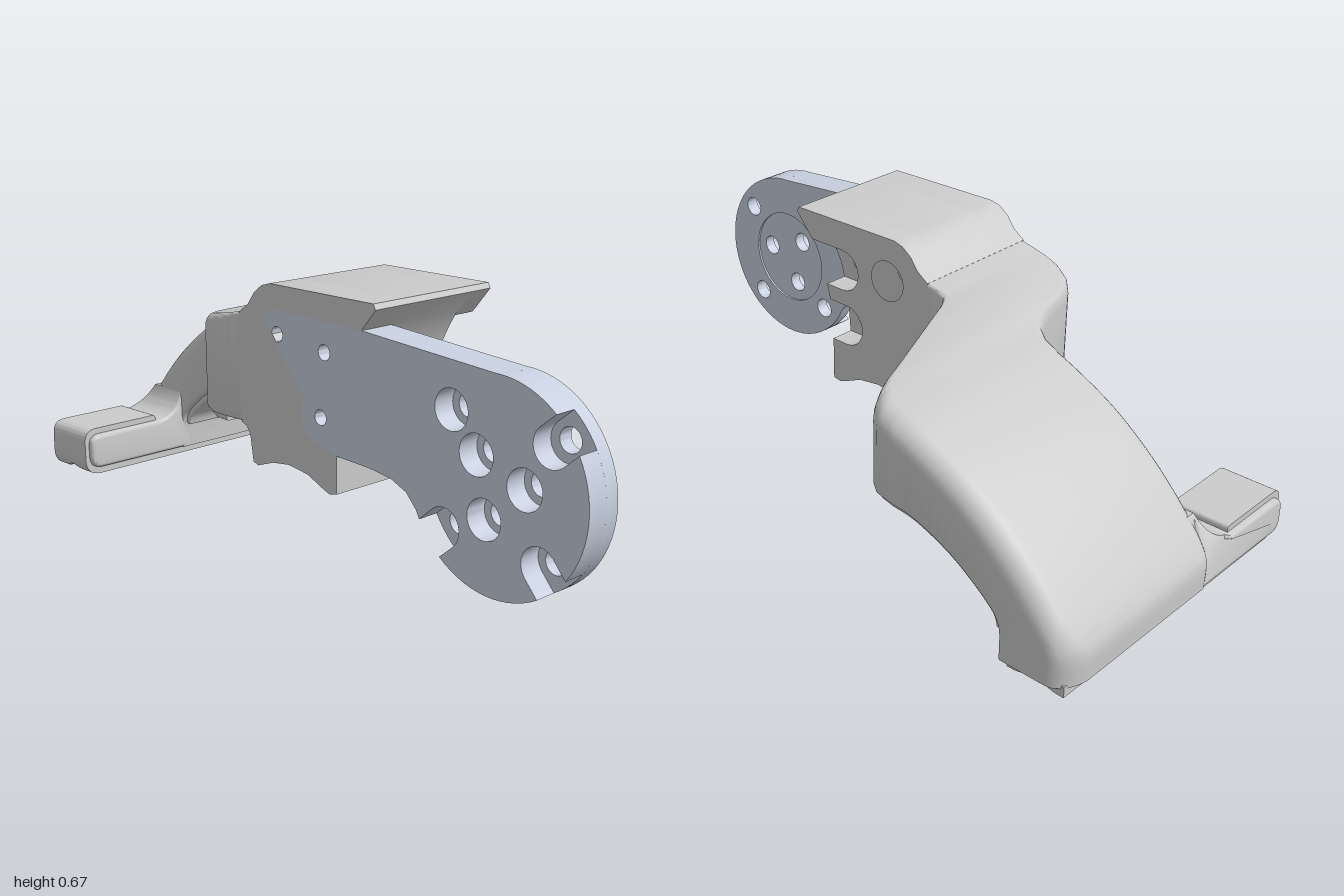
import * as THREE from 'three';
import { toCreasedNormals } from 'three/addons/utils/BufferGeometryUtils.js';

const grey = new THREE.MeshStandardMaterial({ color: 0xcccccc });
const steel = new THREE.MeshStandardMaterial({ color: 0xc8d0e0 });

function add(group, name, geometry, material = grey) {
  const mesh = new THREE.Mesh(toCreasedNormals(geometry, 0.6), material);
  mesh.name = name;
  group.add(mesh);
}

// Arc points in (z, y), angles in degrees
function arc(cz, cy, r, a0, a1, n = 10) {
  return Array.from({ length: n + 1 }, (_, i) => {
    const a = THREE.MathUtils.degToRad(a0 + (a1 - a0) * i / n);
    return [cz + r * Math.cos(a), cy + r * Math.sin(a)];
  });
}

// Side profile in (z, y) with round holes [z, y, r], extruded from x0 to x1
function sideSlab(points, x0, x1, holes = []) {
  const shape = new THREE.Shape(points.map(([z, y]) => new THREE.Vector2(-z, y)));
  for (const [z, y, r] of holes) {
    shape.holes.push(new THREE.Path().absarc(-z, y, r, 0, Math.PI * 2, true));
  }
  const g = new THREE.ExtrudeGeometry(shape, { depth: x1 - x0, bevelEnabled: false, curveSegments: 16 });
  return g.rotateY(Math.PI / 2).translate(x0, 0, 0);
}

// Linear lookup in a table of [z, value] with falling z
function lookup(table, z) {
  if (z >= table[0][0]) return table[0][1];
  for (let i = 1; i < table.length; i++) {
    const [z0, v0] = table[i - 1], [z1, v1] = table[i];
    if (z >= z1) return v0 + (v1 - v0) * (z - z0) / (z1 - z0);
  }
  return table[table.length - 1][1];
}

// Plan outline of the arm
const planLeft = [[-.2, -.45], [-.25, -.443], [-.3, -.418], [-.335, -.38], [-.353, -.34], [-.385, -.22],
  [-.41, -.17], [-.45, -.14], [-.51, -.125]];
const planRight = [[-.15, -.045], [-.185, -.035], [-.205, 0], [-.345, .38], [-.375, .43], [-.41, .455],
  [-.46, .464], [-.95, .464], [-.985, .452], [-1, .435]];

// Loft between an upper and a lower side curve, bounded by the plan outline
function armLoft(upper, lower, rows, inset, radii) {
  const curve = pts => new THREE.CatmullRomCurve3(
    pts.map(([z, y]) => new THREE.Vector3(0, y, z)), false, 'catmullrom', .5);
  const top = curve(upper), bottom = curve(lower);
  const pos = [], index = [];
  const seg = 6, n = 4 * (seg + 1);
  for (let k = 0; k <= rows; k++) {
    const p = top.getPoint(k / rows), q = bottom.getPoint(k / rows);
    const h = p.distanceTo(q), zm = (p.z + q.z) / 2;
    const w = lookup(planRight, zm) - lookup(planLeft, zm) - 2 * inset;
    const [rl, rr, rb] = radii(zm);
    const corners = [[rl, rl, rl, 180], [w - rr, rr, rr, 270], [w - rb, h - rb, rb, 0], [rb, h - rb, rb, 90]];
    for (const [ca, cb, r, start] of corners) {
      for (const [a, b] of arc(ca, cb, r, start, start + 90, seg)) {
        const s = p.clone().lerp(q, b / h);
        const l = lookup(planLeft, s.z) + inset, rgt = lookup(planRight, s.z) - inset;
        pos.push(l + (rgt - l) * a / w, s.y, s.z);
      }
    }
  }
  for (let k = 0; k < rows; k++) {
    for (let i = 0; i < n; i++) {
      const j = (i + 1) % n, a = k * n + i, b = k * n + j;
      index.push(a, b, b + n, a, b + n, a + n);
    }
  }
  const e = rows * n;
  for (let i = 1; i < n - 1; i++) index.push(0, i + 1, i, e, e + i, e + i + 1);
  const g = new THREE.BufferGeometry();
  g.setAttribute('position', new THREE.Float32BufferAttribute(pos, 3));
  g.setIndex(index);
  return g;
}

export function createModel() {
  const model = new THREE.Group();
  model.name = 'bracketArm';

  // Clamp block: a shared rim, closed at the front in three different ways
  const rim = [[.325, .603], [.372, .658], [.365, .672], [0, .675], [-.03, .667], [-.06, .645], [-.085, .612],
    [-.12, .588], [-.12, .298], [-.1, .29], [-.087, .27], [-.077, .2], [-.06, .192], [0, .212], [.06, .219],
    [.13, .209], [.19, .182], [.21, .175], [.235, .18]];
  const tail = [[.235, .278], ...arc(.18, .365, .07, -90, -215), ...arc(.025, .55, .062, -215, -270)];
  const front = [[.235, .3], [.245, .42], [.27, .51], [.3, .565]];
  const pockets = [[.235, .305], ...arc(.18, .365, .06, -90, -270), [.245, .425],
    [.257, .47], ...arc(.195, .53, .06, -90, -270), [.312, .59]];
  const screws = [[.195, .53], [.18, .365], [.025, .55]];
  const screwHoles = screws.map(([z, y]) => [z, y, .025]);
  add(model, 'blockOuterSide', sideSlab([...rim, ...tail], -.45, -.35));
  add(model, 'blockCore', sideSlab([...rim, ...front], -.35, -.115, screwHoles));
  add(model, 'blockPocketSide', sideSlab([...rim, ...pockets], -.115, -.045, [[.025, .55, .058]]));

  // Mounting plate: round head with three open counterbores and a tail let into the block
  const cz = .74, cy = .31, R = .26;
  const notches = [39, -50, -140];
  const smoothHead = arc(cz, cy, R, 90, -156, 50);
  const notchedHead = [];
  let from = 90;
  for (const t of notches) {
    const [[nz, ny]] = arc(cz, cy, .2, t, t, 1);
    notchedHead.push(...arc(cz, cy, R, from, t + 11, 14), ...arc(nz, ny, .05, t + 90, t + 270));
    from = t - 11;
  }
  notchedHead.push(...arc(cz, cy, R, from, -156, 3));
  const neck = [[.47, .24], [.42, .262], [.35, .272], ...tail, [.325, .603]];
  const hub = [[.825, .325], [.685, .375], [.71, .23]];
  const ring = [[.61, .465], [.9, .44], [.87, .155], [.585, .18]];
  const sized = (list, r) => list.map(([z, y]) => [z, y, r]);
  const smallHoles = sized(screws, .02);
  add(model, 'plateOuterLayer', sideSlab([...notchedHead, ...neck], -.45, -.39,
    [...sized(hub, .05), [.61, .465, .05], ...smallHoles]), steel);
  add(model, 'plateMiddleLayer', sideSlab([...smoothHead, ...neck], -.39, -.356,
    [...sized([...hub, ...ring], .03), ...smallHoles]), steel);
  add(model, 'plateInnerLayer', sideSlab([...smoothHead, ...neck], -.356, -.35,
    [[cz, cy, .146], ...sized(ring, .03), ...smallHoles]), steel);

  // Curved arm widening into the hand rest
  const upper = [[-.118, .588], [-.2, .572], [-.3, .553], [-.4, .532], [-.5, .508], [-.6, .465], [-.7, .41],
    [-.8, .335], [-.88, .26], [-.95, .18], [-.985, .13], [-1, .09], [-1, .022]];
  const lower = [[-.118, .298], [-.2, .297], [-.3, .295], [-.4, .293], [-.5, .288], [-.57, .27], [-.65, .235],
    [-.72, .19], [-.77, .15], [-.79, .125], [-.798, .1], [-.8, .07], [-.8, .022]];
  add(model, 'arm', armLoft(upper, lower, 120, 0, z => {
    const t = THREE.MathUtils.smoothstep(-z, .12, .38);
    return [.008 + .032 * t, .008 + .05 * t, .012];
  }));

  // Thin liner on the concave underside
  const linerTop = lower.slice(1, 11);
  const linerBottom = linerTop.map(([z, y], i) => {
    const [z0, y0] = linerTop[Math.max(i - 1, 0)], [z1, y1] = linerTop[Math.min(i + 1, 9)];
    const d = Math.hypot(z1 - z0, y1 - y0);
    return [z - (y1 - y0) / d * .016, y + (z1 - z0) / d * .016];
  });
  add(model, 'undersideLiner', armLoft(linerTop, linerBottom, 70, .016, () => [.001, .001, .005]));

  // Hook reaching sideways from the foot, trimmed to the back of the arm
  const hook = new THREE.Shape();
  hook.moveTo(-.09, .022).lineTo(-.42, .022);
  hook.quadraticCurveTo(-.455, .022, -.455, .06).lineTo(-.455, .09);
  hook.quadraticCurveTo(-.455, .122, -.42, .122).lineTo(-.22, .122);
  hook.quadraticCurveTo(-.14, .125, -.124, .2).lineTo(-.09, .2);
  const hookGeo = new THREE.ExtrudeGeometry(hook, {
    depth: .18, bevelThickness: .01, bevelSize: .01, bevelOffset: -.01, bevelSegments: 3 });
  hookGeo.translate(0, 0, -.99);
  const hp = hookGeo.attributes.position;
  const backEdge = [[-.09, -1], [-.13, -.985], [-.2, -.935]];
  for (let i = 0; i < hp.count; i++) {
    if (hp.getX(i) > -.2) hp.setZ(i, Math.max(hp.getZ(i), lookup(backEdge, -hp.getY(i)) + .003));
  }
  add(model, 'hook', hookGeo);

  // Pad wrapped round the hook tip and along the foot, with a groove underneath
  const pad = new THREE.Shape();
  pad.moveTo(.447, .03).lineTo(.447, 0).lineTo(-.415, 0);
  pad.quadraticCurveTo(-.468, 0, -.468, .05).lineTo(-.468, .1);
  pad.quadraticCurveTo(-.468, .139, -.43, .139).lineTo(-.222, .139);
  pad.quadraticCurveTo(-.213, .139, -.213, .13).lineTo(-.213, .03);
  const padGeo = new THREE.ExtrudeGeometry(pad, { depth: .164, steps: 20, bevelEnabled: false });
  padGeo.translate(0, 0, -.982);
  const pp = padGeo.attributes.position;
  for (let i = 0; i < pp.count; i++) {
    const y = pp.getY(i), groove = .021 * Math.exp(-(((pp.getZ(i) + .9) / .032) ** 2));
    if (y < .021) pp.setY(i, Math.max(y, groove));
  }
  add(model, 'footPad', padGeo);

  return model;
}
